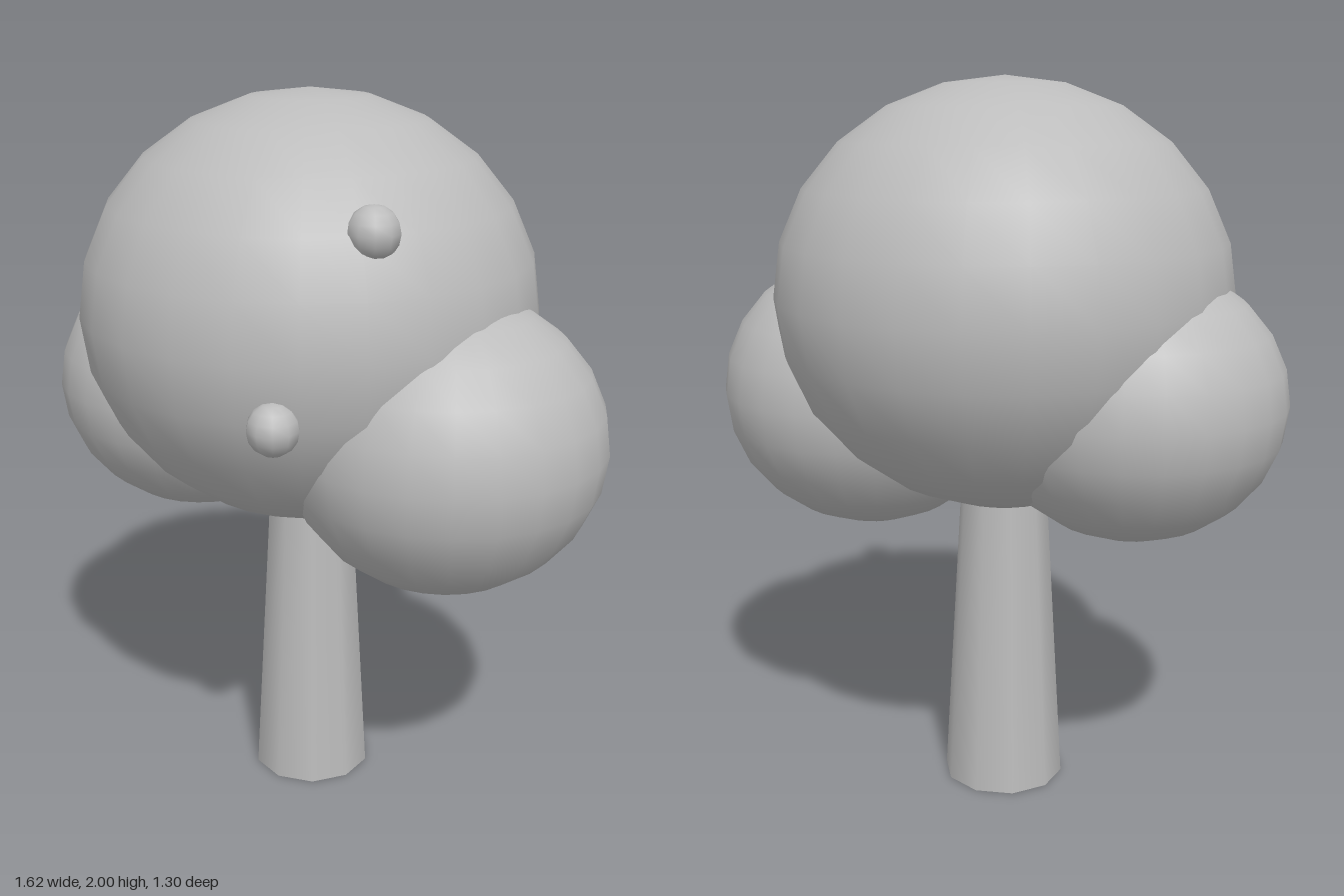
import * as THREE from 'three';

export function createModel() {
  const tree = new THREE.Group();
  tree.name = 'tree';
  const grey = new THREE.MeshStandardMaterial({ color: 0xbcbcbc });
  grey.name = 'plain grey';

  // Smooth ellipsoid with the given centre and radii
  function blob(name, centre, radii, sides, rings) {
    const mesh = new THREE.Mesh(new THREE.SphereGeometry(1, sides, rings), grey);
    mesh.name = name;
    mesh.position.set(...centre);
    mesh.scale.set(...radii);
    tree.add(mesh);
  }

  // Tapered ten-sided trunk, its top buried in the crown
  const trunk = new THREE.Mesh(new THREE.CylinderGeometry(0.12, 0.173, 0.92, 10), grey);
  trunk.name = 'trunk';
  trunk.position.set(-0.035, 0.46, -0.02);
  trunk.rotation.y = Math.PI / 2;
  tree.add(trunk);

  // Foliage
  blob('crown', [-0.035, 1.42, -0.02], [0.625, 0.58, 0.63], 24, 12);
  blob('leftFoliage', [0.38, 1.12, 0.13], [0.43, 0.4, 0.43], 24, 12);
  blob('rightFoliage', [-0.4, 1.16, -0.12], [0.41, 0.375, 0.41], 24, 12);

  // Fruit
  blob('lowerFruit', [0.06, 1.27, 0.587], [0.066, 0.066, 0.066], 10, 8);
  blob('upperFruit', [0.255, 1.715, 0.42], [0.066, 0.066, 0.066], 10, 8);

  return tree;
}
